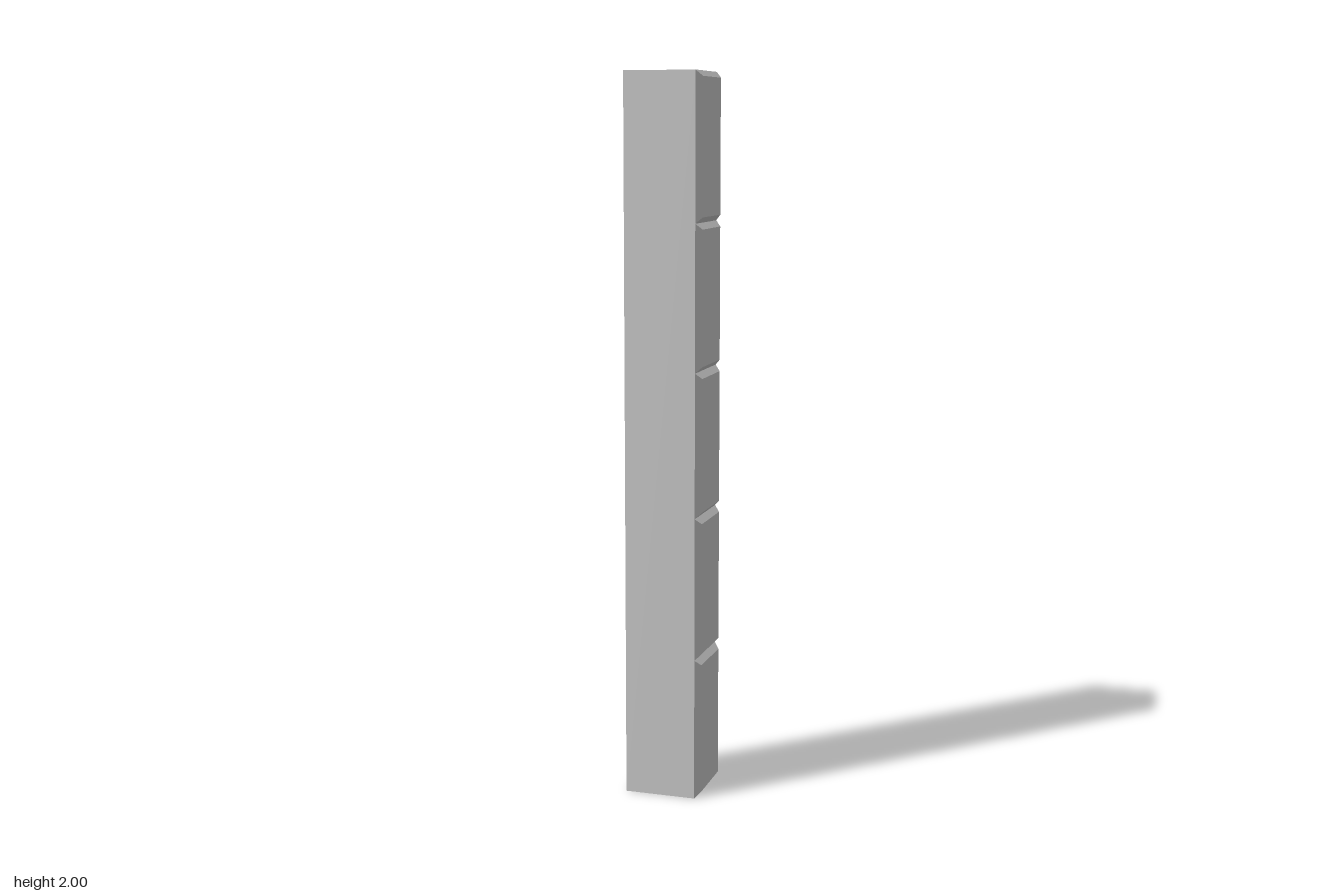
import * as THREE from 'three';

const HEIGHT = 2, DEPTH = 0.2, BEVEL = 0.016, BLOCKS = 5;
const BACK_X = -0.108, FACE_X = 0.092;

const material = new THREE.MeshStandardMaterial({
  color: 0xcccccc, flatShading: true, side: THREE.DoubleSide,
});

// Box without the listed sides (0 +x, 1 -x, 2 +y, 3 -y, 4 +z, 5 -z)
function openBox(w, h, d, removed) {
  const geo = new THREE.BoxGeometry(w, h, d);
  const index = Array.from(geo.index.array);
  geo.setIndex(index.filter((_, i) => !removed.includes(Math.floor(i / 6))));
  geo.clearGroups();
  return geo;
}

// Block face whose outer (+x) rim is drawn in on all four edges
function bevelledFace(h) {
  const geo = openBox(BEVEL, h, DEPTH, [1]);
  const p = geo.attributes.position;
  for (let i = 0; i < p.count; i++) {
    if (p.getX(i) > 0) {
      p.setY(i, p.getY(i) - Math.sign(p.getY(i)) * BEVEL);
      p.setZ(i, p.getZ(i) - Math.sign(p.getZ(i)) * BEVEL);
    }
  }
  geo.computeVertexNormals();
  return geo;
}

export function createModel() {
  const group = new THREE.Group();
  group.name = 'blockColumn';

  // Pillar shell: open at the wall side (-x), closed by the block faces at +x
  const shell = new THREE.Mesh(openBox(FACE_X - BACK_X, HEIGHT, DEPTH, [0, 1]), material);
  shell.name = 'pillarShell';
  shell.position.set((FACE_X + BACK_X) / 2, HEIGHT / 2, 0);
  group.add(shell);

  // Stack of bevelled block faces, V-grooves forming between them
  const blockHeight = HEIGHT / BLOCKS;
  const faceGeo = bevelledFace(blockHeight);
  for (let i = 0; i < BLOCKS; i++) {
    const face = new THREE.Mesh(faceGeo, material);
    face.name = `blockFace${i + 1}`;
    face.position.set(FACE_X + BEVEL / 2, (i + 0.5) * blockHeight, 0);
    group.add(face);
  }
  return group;
}
